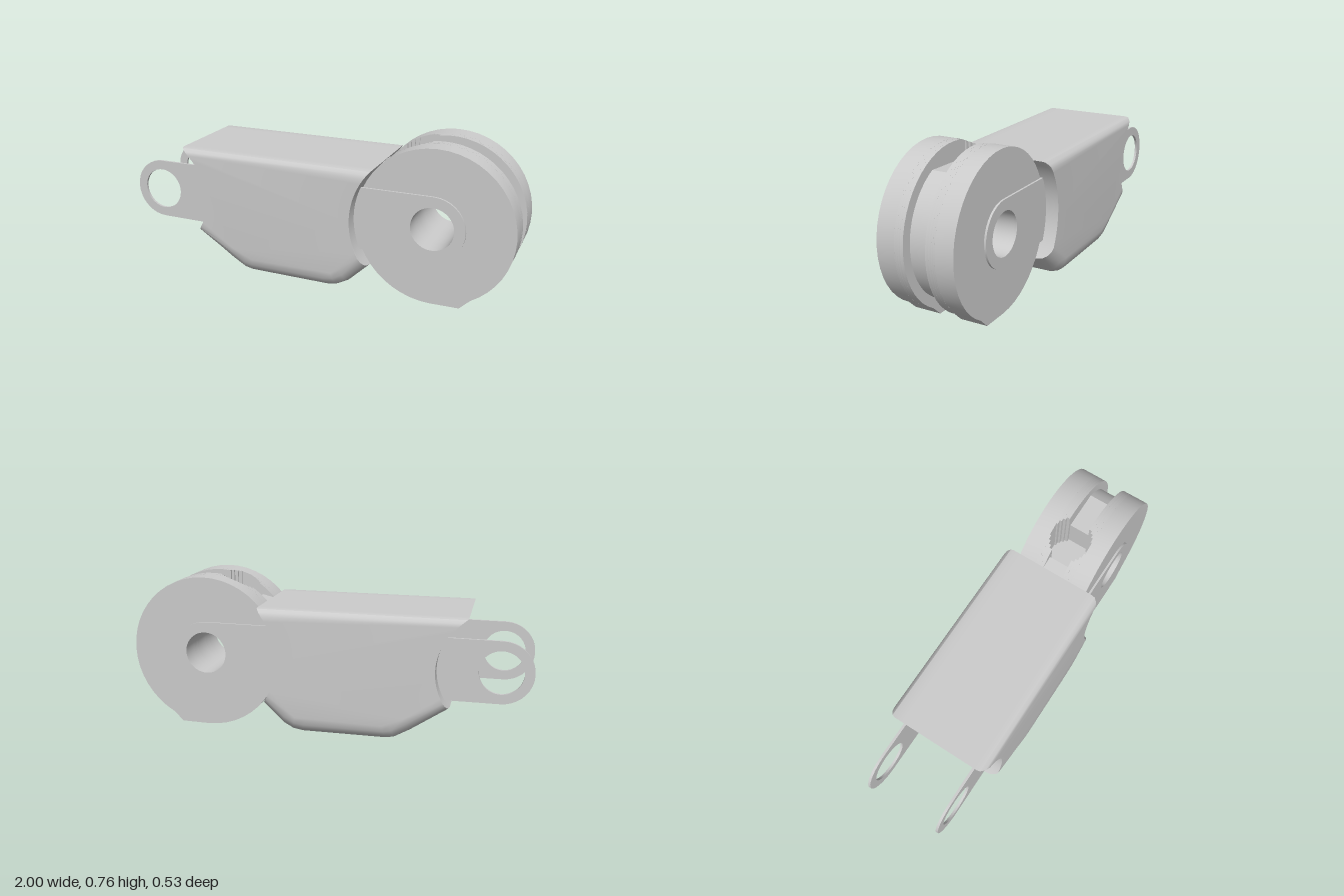
import * as THREE from 'three';
import { toCreasedNormals } from 'three/addons/utils/BufferGeometryUtils.js';

const AXLE_Y = 0.38, HINGE_X = 0.61, EAR_X = -0.85, HOLE_R = 0.105;
const material = new THREE.MeshStandardMaterial({ color: 0xcccccc });

function addMesh(parent, name, geometry) {
  const mesh = new THREE.Mesh(toCreasedNormals(geometry, 0.5), material);
  mesh.name = name;
  parent.add(mesh);
  return mesh;
}

// Points on a circle arc around (cx, AXLE_Y), angles in radians
function arc(cx, r, from, to, n) {
  return Array.from({ length: n + 1 }, (_, i) => {
    const a = from + (to - from) * i / n;
    return new THREE.Vector2(cx + r * Math.cos(a), AXLE_Y + r * Math.sin(a));
  });
}

// Flat plate with axle holes, spanning z0..z1
function plate(points, z0, z1, holes) {
  const shape = new THREE.Shape(points);
  for (const x of holes) {
    shape.holes.push(new THREE.Path().absarc(x, AXLE_Y, HOLE_R, 0, Math.PI * 2, true));
  }
  return new THREE.ExtrudeGeometry(shape, { depth: z1 - z0, bevelEnabled: false, curveSegments: 28 })
    .translate(0, 0, z0);
}

// Body outline: sloped belly, scooped ends, top and belly inset by the edge rounding
function bodyOutline(topDrop, lift) {
  const pts = [];
  const top = 0.635 - topDrop, leftY = 0.19 + lift * 0.5, rightY = 0.145 + lift * 0.7, n = 16;
  const belly = [[-0.43, 0.06], [-0.36, 0.02], [-0.32, 0.012], [0.1, 0.01], [0.15, 0.018], [0.2, 0.045]];
  for (const [x, y] of belly) pts.push([x + (x < 0 ? 0.25 : -0.25) * lift, y + lift]);
  for (let i = 0; i <= n; i++) {
    const y = rightY + (top - rightY) * i / n;
    pts.push([HINGE_X - Math.sqrt(0.385 ** 2 - (y - AXLE_Y) ** 2), y]);
  }
  for (let i = 0; i <= n; i++) {
    const y = top + (leftY - top) * i / n;
    pts.push([EAR_X + Math.sqrt(0.3 ** 2 - (y - AXLE_Y) ** 2), y]);
  }
  return pts;
}

// Loft the outlines across z and close both sides
function bodyGeometry() {
  const half = [[0.265, 0.035, 0.08], [0.258, 0.017, 0.05], [0.242, 0.003, 0.025],
    [0.225, 0, 0.01], [0.19, 0, 0]];
  const stations = [...half.map(([z, t, l]) => [-z, t, l]), ...half.slice().reverse()];
  const rings = stations.map(([, t, l]) => bodyOutline(t, l));
  const n = rings[0].length, positions = [], index = [];
  rings.forEach((ring, s) => ring.forEach(([x, y]) => positions.push(x, y, stations[s][0])));
  for (let s = 0; s < rings.length - 1; s++) {
    for (let i = 0; i < n; i++) {
      const a = s * n + i, b = s * n + (i + 1) % n;
      index.push(a, b, b + n, a, b + n, a + n);
    }
  }
  const last = (rings.length - 1) * n;
  const faces = THREE.ShapeUtils.triangulateShape(rings[0].map(([x, y]) => new THREE.Vector2(x, y)), []);
  for (const [a, b, c] of faces) index.push(a, c, b, last + a, last + b, last + c);
  const geometry = new THREE.BufferGeometry();
  geometry.setAttribute('position', new THREE.Float32BufferAttribute(positions, 3));
  geometry.setIndex(index);
  return geometry;
}

// Hinge disc outline with a small heel below and an optional cable notch on top
function discOutline(notch) {
  const cx = 0.615, r = 0.382, x = 0.48, floor = 0.52;
  const heel = new THREE.Vector2(0.755, 0);
  const start = -Math.PI / 3, end = Math.PI * 1.5;
  if (!notch) return [...arc(cx, r, start, end, 44), heel];
  const a = Math.acos((x + notch - cx) / r), b = Math.acos((x - notch - cx) / r);
  return [
    ...arc(cx, r, start, a, 24),
    new THREE.Vector2(x + notch, floor), new THREE.Vector2(x - notch, floor),
    ...arc(cx, r, b, end, 20), heel,
  ];
}

export function createModel() {
  const model = new THREE.Group();
  model.name = 'fingerLink';

  addMesh(model, 'body', bodyGeometry());

  // Core between the two hinge discs, with the cable notch in its top
  const v = (x, y) => new THREE.Vector2(x, y);
  const core = [
    ...arc(0.615, 0.335, Math.PI * 1.22, Math.PI * 2.345, 36),
    v(0.575, 0.67), v(0.575, 0.52), v(0.385, 0.52), v(0.385, 0.64), v(0.22, 0.6), v(0.22, 0.2),
  ];
  addMesh(model, 'hingeCore', plate(core, -0.055, 0.055, [HINGE_X]));

  // Hinge discs, sliced in z so the round cable notch narrows into each one
  const cuts = [0.055, 0.07, 0.083, 0.093, 0.1, 0.19];
  for (const side of [1, -1]) {
    const disc = new THREE.Group();
    disc.name = side > 0 ? 'frontHingeDisc' : 'backHingeDisc';
    for (let i = 0; i < cuts.length - 1; i++) {
      const [lo, hi] = [cuts[i], cuts[i + 1]];
      const mid = (lo + hi) / 2;
      const notch = mid < 0.1 ? Math.sqrt(0.101 ** 2 - mid * mid) : 0;
      const [z0, z1] = side > 0 ? [lo, hi] : [-hi, -lo];
      addMesh(disc, 'discSlice', plate(discOutline(notch), z0, z1, [HINGE_X]));
    }
    model.add(disc);

    // Thin side plate: ear at one end, strap around the hinge hole at the other
    const strap = [
      ...arc(HINGE_X, 0.158, -Math.PI / 2, Math.PI / 2, 18),
      ...arc(EAR_X, 0.152, Math.PI / 2, Math.PI * 1.5, 18),
    ];
    const [z0, z1] = side > 0 ? [0.188, 0.2] : [-0.2, -0.188];
    addMesh(model, side > 0 ? 'frontEarPlate' : 'backEarPlate', plate(strap, z0, z1, [HINGE_X, EAR_X]));
  }
  return model;
}
